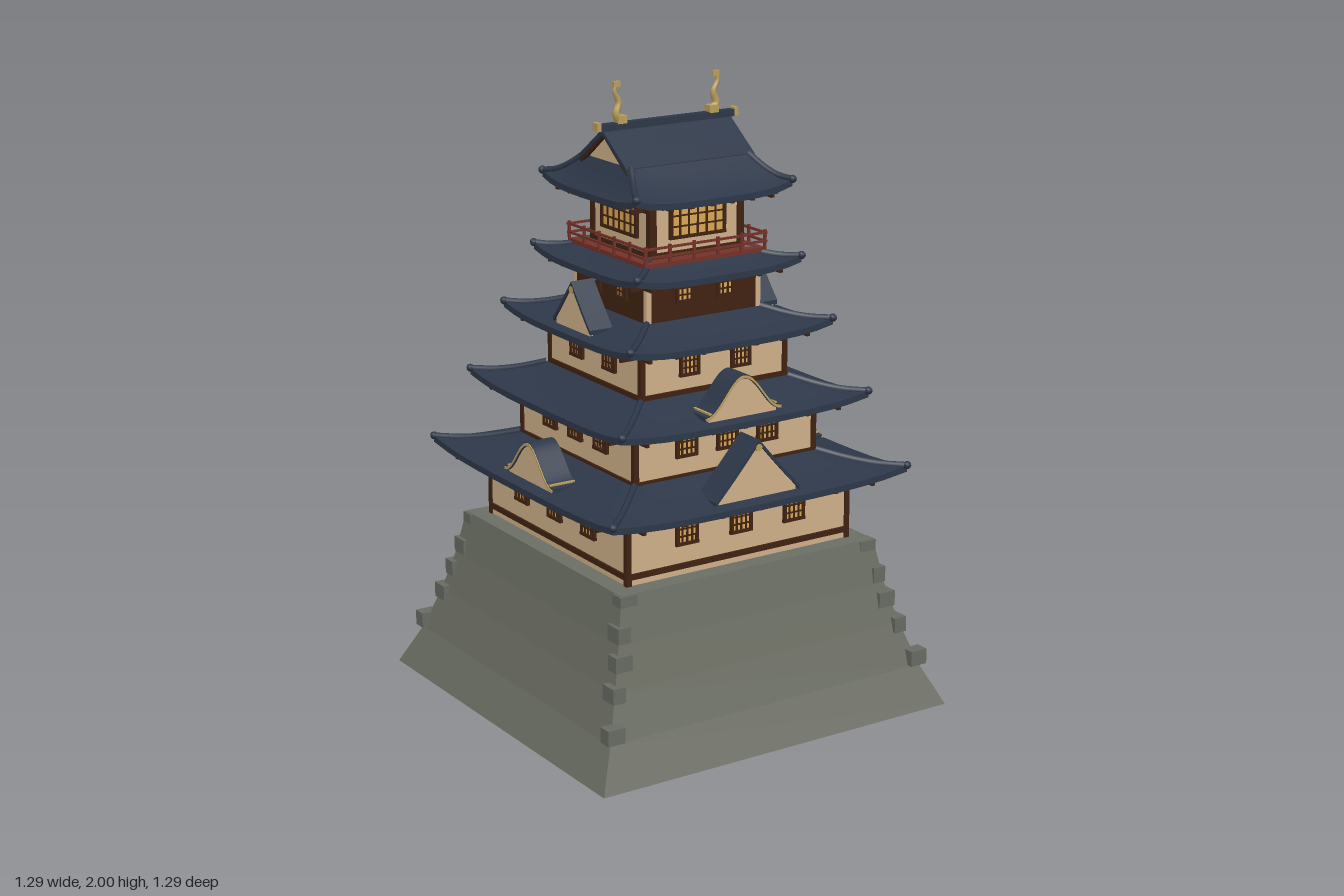
import * as THREE from 'three';
import { toCreasedNormals } from 'three/addons/utils/BufferGeometryUtils.js';

const mat = (name, color) => {
  const m = new THREE.MeshStandardMaterial({ color });
  m.name = name;
  return m;
};

export function createModel() {
  const stone = mat('stone', 0x6b6e63);
  const block = mat('corner stone', 0x676b62);
  const plaster = mat('plaster', 0xcfb088);
  const wood = mat('dark wood', 0x3f2212);
  const tile = mat('roof tile', 0x2d3748);
  const amber = mat('lit window', 0xd9a654);
  const gold = mat('gold', 0xb99d5c);
  const red = mat('red lacquer', 0x733128);

  const castle = new THREE.Group();
  castle.name = 'castle';

  const add = (parent, name, geo, material, x = 0, y = 0, z = 0) => {
    const mesh = new THREE.Mesh(geo, material);
    mesh.name = name;
    mesh.position.set(x, y, z);
    parent.add(mesh);
    return mesh;
  };
  const box = (parent, name, material, w, h, d, x, y, z) =>
    add(parent, name, new THREE.BoxGeometry(w, h, d), material, x, y, z);
  const group = (parent, name) => {
    const g = new THREE.Group();
    g.name = name;
    parent.add(g);
    return g;
  };
  // Repeat a facade on all four sides
  const fourSides = (parent, name, build) => {
    for (let i = 0; i < 4; i++) {
      const g = group(parent, name);
      g.rotation.y = i * Math.PI / 2;
      build(g, i);
    }
  };

  // Stone base with concave battered sides
  const profile = [[0, 0], [0.645, 0], [0.583, 0.13], [0.535, 0.27], [0.5, 0.4], [0.472, 0.545], [0, 0.545]]
    .map(([r, y]) => new THREE.Vector2(r * Math.SQRT2, y));
  const baseGeo = new THREE.LatheGeometry(profile, 4).rotateY(Math.PI / 4).toNonIndexed();
  baseGeo.computeVertexNormals();
  add(castle, 'stoneBase', baseGeo, stone);
  fourSides(castle, 'cornerStones', (g, side) => {
    [[0.16, 0.6], [0.265, 0.552], [0.35, 0.525], [0.43, 0.502], [0.518, 0.479]].forEach(([y, out], i) => {
      const long = (i + side) % 2 ? 0.045 : 0.06;
      box(g, 'cornerStone', block, long, 0.05, 0.105 - long, out - long / 2, y, out - (0.105 - long) / 2);
    });
  });

  // Curved roof skirt: point at side s, position t along it (-1..1), height fraction v
  const roofPoint = (r, s, t, v, dy) => {
    const hx = THREE.MathUtils.lerp(r.hx, r.tx, v), hz = THREE.MathUtils.lerp(r.hz, r.tz, v);
    const y = r.y0 + (r.y1 - r.y0) * v ** 1.3 + r.lift * t ** 4 * (1 - v) ** 2 + dy;
    const p = [[t * hx, hz], [hx, -t * hz], [-t * hx, -hz], [-hx, t * hz]][s];
    return new THREE.Vector3(p[0], y, p[1]);
  };
  const addRoof = (r) => {
    const g = group(castle, r.name);
    const N = 12, T = 0.02, pos = [], idx = [];
    const rings = [[1, -T], [0.5, -T], [0, -T], [0, 0], [0.25, 0], [0.5, 0], [0.75, 0], [1, 0]];
    for (const [v, dy] of rings)
      for (let s = 0; s < 4; s++)
        for (let i = 0; i < N; i++) pos.push(...roofPoint(r, s, -1 + 2 * i / N, v, dy).toArray());
    const M = 4 * N;
    for (let k = 0; k < rings.length - 1; k++)
      for (let i = 0; i < M; i++) {
        const a = k * M + i, b = k * M + (i + 1) % M;
        idx.push(a, b, b + M, a, b + M, a + M);
      }
    const geo = new THREE.BufferGeometry();
    geo.setAttribute('position', new THREE.Float32BufferAttribute(pos, 3));
    geo.setIndex(idx);
    add(g, 'roofSkirt', toCreasedNormals(geo, 0.5), tile);
    // Hip ridges with rounded tips
    for (let s = 0; s < 4; s++) {
      const pts = [0, 0.33, 0.66, 1].map(v => roofPoint(r, s, 1, v, 0.002));
      add(g, 'hipRidge', new THREE.TubeGeometry(new THREE.CatmullRomCurve3(pts), 10, 0.01, 6), tile);
      add(g, 'hipTip', new THREE.SphereGeometry(0.013, 8, 6), tile, ...pts[0].toArray());
    }
    // Rafters under the eaves
    fourSides(g, 'rafters', (side, i) => {
      const [w, d] = i % 2 ? [r.hz, r.hx] : [r.hx, r.hz];
      for (let k = -3; k <= 3; k++)
        box(side, 'rafter', wood, 0.012, 0.012, 0.07, k * w * 0.26, r.y0 - 0.021, d - 0.05);
    });
  };
  const roofs = [
    ['firstRoof', 0.545, 0.34, 0.772, 0.83], ['secondRoof', 0.455, 0.275, 1.008, 1.068],
    ['thirdRoof', 0.373, 0.21, 1.237, 1.288], ['fourthRoof', 0.302, 0.175, 1.432, 1.472],
  ];
  for (const [name, h, t, y0, y1] of roofs)
    addRoof({ name, hx: h, hz: h, tx: t, tz: t, y0, y1, lift: 0.022 });
  addRoof({ name: 'topRoofSkirt', hx: 0.285, hz: 0.272, tx: 0.215, tz: 0.135, y0: 1.665, y1: 1.757, lift: 0.025 });

  // Lattice window
  const addWindow = (parent, x, y, z, w, h, cols, rows) => {
    const g = group(parent, 'window');
    g.position.set(x, y, z);
    box(g, 'windowPane', amber, w, h, 0.006, 0, 0, 0.002);
    for (const s of [-1, 1]) {
      box(g, 'windowFrame', wood, w + 0.012, 0.01, 0.014, 0, s * h / 2, 0.004);
      box(g, 'windowFrame', wood, 0.01, h, 0.014, s * w / 2, 0, 0.004);
    }
    for (let i = 1; i < cols; i++) box(g, 'windowBar', wood, 0.006, h, 0.009, w * (i / cols - 0.5), 0, 0.004);
    for (let i = 1; i < rows; i++) box(g, 'windowBar', wood, w, 0.005, 0.009, 0, h * (i / rows - 0.5), 0.004);
  };

  // Wall storeys: half width, bottom, top, window positions, window centre height, size and grid
  const storeys = [
    ['firstStorey', 0.413, 0.545, 0.775, [-0.2, 0, 0.2], 0.682, 0.07, 0.072, 4, 3],
    ['secondStorey', 0.335, 0.8, 1.015, [-0.15, 0, 0.15], 0.93, 0.068, 0.068, 4, 3],
    ['thirdStorey', 0.268, 1.045, 1.245, [-0.095, 0.095], 1.162, 0.062, 0.066, 4, 3],
    ['fourthStorey', 0.206, 1.265, 1.44, [-0.075, 0.075], 1.375, 0.054, 0.062, 3, 3],
    ['topStorey', 0.168, 1.455, 1.69, [0], 1.585, 0.195, 0.1, 6, 3],
  ];
  storeys.forEach(([name, h, y0, y1, xs, wy, ww, wh, cols, rows], n) => {
    const g = group(castle, name);
    const mid = (y0 + y1) / 2, tall = y1 - y0;
    box(g, 'walls', plaster, 2 * h, tall, 2 * h, 0, mid, 0);
    fourSides(g, 'facade', (side) => {
      const pw = n === 4 ? 0.024 : 0.018;
      const post = n === 3 ? plaster : wood;
      box(side, 'cornerPost', post, pw, tall, pw, h - pw / 2 + 0.005, mid, h - pw / 2 + 0.005);
      if (n === 3) box(side, 'woodPanel', wood, 2 * h - 0.025, 0.135, 0.008, 0, 1.345, h + 0.001);
      else box(side, 'baseBeam', wood, 2 * h, 0.018, 0.014, 0, y0 + 0.029, h);
      box(side, 'topBeam', wood, 2 * h, 0.014, 0.012, 0, y1 - 0.012, h);
      for (const x of xs) addWindow(side, x, wy, h + (n === 3 ? 0.004 : 0), ww, wh, cols, rows);
    });
  });

  // Balcony with railing
  const balcony = group(castle, 'balcony');
  box(balcony, 'balconyDeck', red, 0.44, 0.014, 0.44, 0, 1.469, 0);
  fourSides(balcony, 'railing', (g) => {
    for (const y of [1.495, 1.522]) box(g, 'rail', red, 0.455, 0.007, 0.007, 0, y, 0.22);
    for (let i = 0; i < 6; i++) box(g, 'railPost', red, 0.008, 0.062, 0.008, -0.22 + i * 0.088, 1.5, 0.22);
  });

  // Dormer gables: straight or bell-shaped roof over a plaster front
  const bandShape = (f, w, thick) => {
    const top = [], low = [];
    for (let i = 0; i <= 24; i++) {
      const s = -1 + i / 12;
      top.push(new THREE.Vector2(s * w, f(s)));
      low.unshift(new THREE.Vector2(s * w, f(s) - thick));
    }
    return new THREE.Shape([...low.reverse(), ...top.reverse()]);
  };
  const extrude = (shape, depth) =>
    toCreasedNormals(new THREE.ExtrudeGeometry(shape, { depth, bevelEnabled: false }), 0.5);
  const addDormer = (angle, front, depth, w, y, h, bell) => {
    const holder = group(castle, bell ? 'curvedDormer' : 'pointedDormer');
    holder.rotation.y = angle;
    const g = group(holder, 'dormer');
    g.position.set(0, y, front - depth);
    const f = bell
      ? s => h * (0.5 + 0.5 * Math.cos(Math.PI * s))
      : s => h * (0.92 * (1 - Math.abs(s)) + 0.08 * (1 - Math.abs(s)) ** 2);
    add(g, 'dormerRoof', extrude(bandShape(f, w, 0.014), depth), tile);
    const pts = [new THREE.Vector2(-w * 0.9, -0.02), new THREE.Vector2(w * 0.9, -0.02)];
    for (let i = 12; i >= -12; i--) pts.push(new THREE.Vector2(i / 12 * w * 0.9, f(i / 12 * 0.9) - 0.008));
    add(g, 'dormerFront', extrude(new THREE.Shape(pts), 0.012), plaster, 0, 0, depth - 0.018);
    if (bell) {
      add(g, 'dormerTrim', extrude(bandShape(s => f(s) - 0.003, w, 0.009), 0.006), gold, 0, 0, depth - 0.003);
      for (const s of [-1, 1]) box(g, 'dormerEdge', gold, 0.008, 0.006, depth, s * w * 0.87, f(0.87) + 0.001, depth / 2);
    } else {
      const disc = new THREE.CylinderGeometry(0.012, 0.012, 0.008, 8).rotateX(Math.PI / 2);
      add(g, 'dormerOrnament', disc, gold, 0, h - 0.026, depth - 0.003);
    }
  };
  for (const a of [0, Math.PI]) {
    addDormer(a, 0.51, 0.1, 0.158, 0.79, 0.175, false);
    addDormer(a, 0.428, 0.09, 0.138, 1.035, 0.115, true);
    addDormer(a + Math.PI / 2, 0.51, 0.09, 0.143, 0.797, 0.113, true);
    addDormer(a + Math.PI / 2, 0.35, 0.082, 0.108, 1.265, 0.133, false);
  }

  // Top gable roof, running along x
  const topGable = group(castle, 'topGable');
  const slope = s => 0.1 * (1 - Math.abs(s));
  const along = (name, geo, material, x, y) => {
    const m = add(topGable, name, geo, material, x, y, 0);
    m.rotation.y = Math.PI / 2;
  };
  along('gableRoof', extrude(bandShape(slope, 0.138, 0.016), 0.47), tile, -0.235, 1.757);
  const tri = new THREE.Shape([[-0.125, -0.01], [0.125, -0.01], [0, 0.088]].map(p => new THREE.Vector2(...p)));
  along('gableWall', extrude(tri, 0.43), plaster, -0.215, 1.757);
  for (const s of [-1, 1])
    along('bargeBoard', extrude(bandShape(q => slope(q) - 0.012, 0.132, 0.012), 0.012), wood, s * 0.224 - 0.006, 1.757);
  box(topGable, 'ridgeBeam', tile, 0.49, 0.022, 0.026, 0, 1.862, 0);

  // Gold ridge ends and curling roof finials
  for (const s of [-1, 1]) {
    box(topGable, 'ridgeEnd', gold, 0.014, 0.026, 0.03, s * 0.252, 1.866, 0);
    const path = new THREE.CatmullRomCurve3([[0.162, 1.872], [0.183, 1.898], [0.174, 1.935], [0.189, 1.97], [0.181, 1.998]]
      .map(([x, y]) => new THREE.Vector3(s * x, y, 0)));
    const geo = new THREE.TubeGeometry(path, 20, 0.016, 8);
    const p = geo.attributes.position, c = new THREE.Vector3(), v = new THREE.Vector3();
    for (let i = 0; i < p.count; i++) {
      const t = Math.floor(i / 9) / 20;
      path.getPointAt(t, c);
      v.fromBufferAttribute(p, i).sub(c).multiplyScalar(1 - 0.75 * t).add(c);
      p.setXYZ(i, v.x, v.y, v.z);
    }
    geo.computeVertexNormals();
    const finial = group(topGable, 'finial');
    add(finial, 'finialBody', geo, gold);
    box(finial, 'finialHead', gold, 0.034, 0.024, 0.03, s * 0.168, 1.882, 0);
    box(finial, 'finialTail', gold, 0.024, 0.018, 0.01, s * 0.182, 1.991, 0);
  }
  return castle;
}
